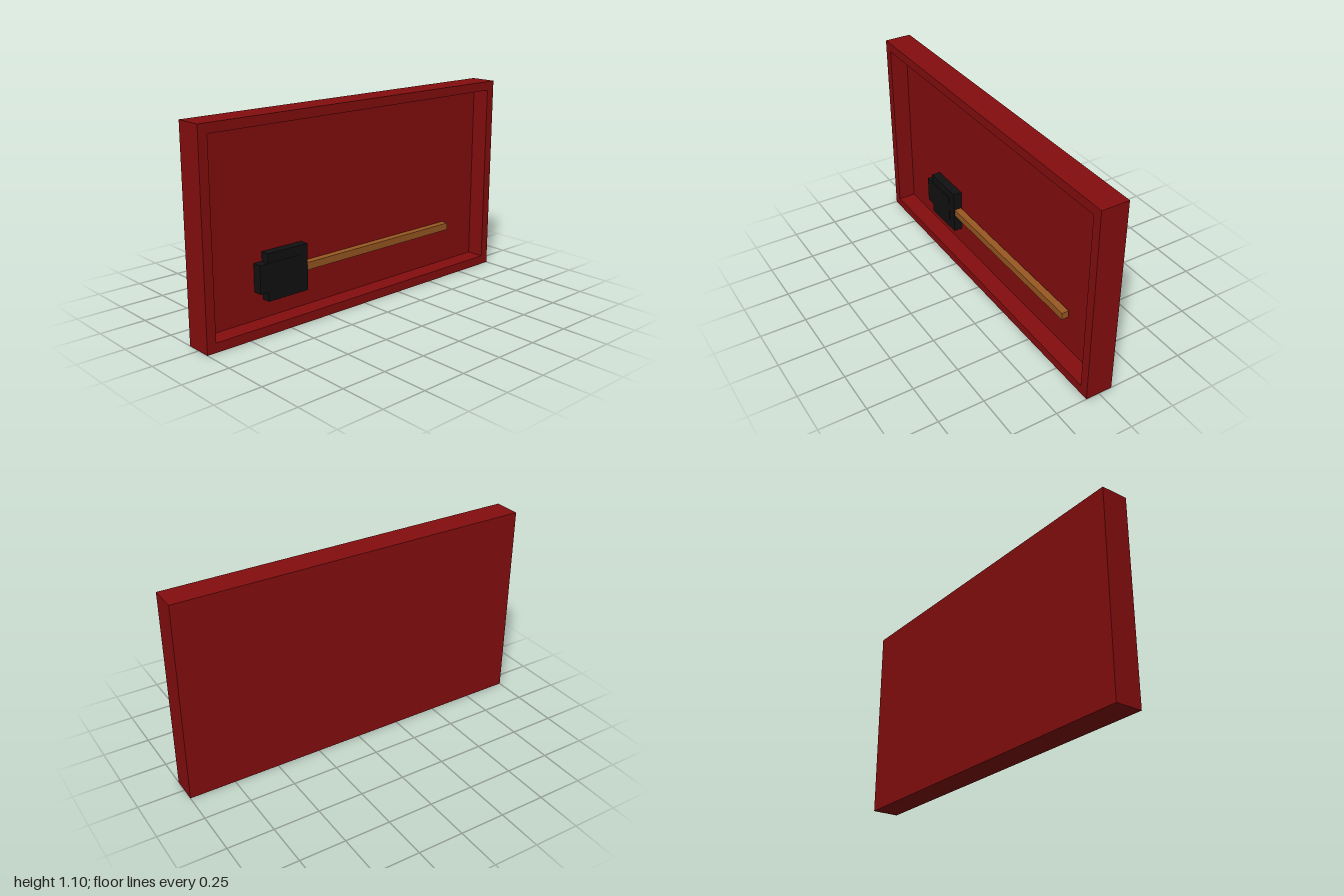
import * as THREE from 'three';

const paint = (name, color) => Object.assign(new THREE.MeshStandardMaterial({ color }), { name });

export function createModel() {
  const red = paint('red', 0x850d0e);
  const black = paint('black', 0x111111);
  const wood = paint('wood', 0x985821);
  const model = new THREE.Group();
  model.name = 'emergencyAxeCase';

  const add = (parent, name, geometry, material, x, y, z) => {
    const mesh = new THREE.Mesh(geometry, material);
    mesh.name = name;
    mesh.position.set(x, y, z);
    parent.add(mesh);
  };

  // Shallow open tray: rim with a rectangular opening, standing on a back panel
  const rim = new THREE.Shape([[-1, 0], [1, 0], [1, 1.1], [-1, 1.1]].map(p => new THREE.Vector2(...p)));
  rim.holes.push(new THREE.Path(
    [[-0.95, 0.05], [-0.95, 1.05], [0.95, 1.05], [0.95, 0.05]].map(p => new THREE.Vector2(...p))));
  add(model, 'caseRim', new THREE.ExtrudeGeometry(rim, { depth: 0.1, bevelEnabled: false }), red, 0, 0, -0.025);
  add(model, 'backPanel', new THREE.BoxGeometry(2, 1.1, 0.05), red, 0, 0.55, -0.05);

  // Axe resting inside the tray
  const axe = new THREE.Group();
  axe.name = 'axe';
  axe.position.y = 0.275;
  model.add(axe);
  add(axe, 'handle', new THREE.BoxGeometry(1.1, 0.04, 0.04), wood, 0.15, 0, 0);
  add(axe, 'headBlock', new THREE.BoxGeometry(0.25, 0.25, 0.05), black, -0.475, 0, 0);
  add(axe, 'headCore', new THREE.BoxGeometry(0.25, 0.15, 0.054), black, -0.525, 0, 0);

  return model;
}
